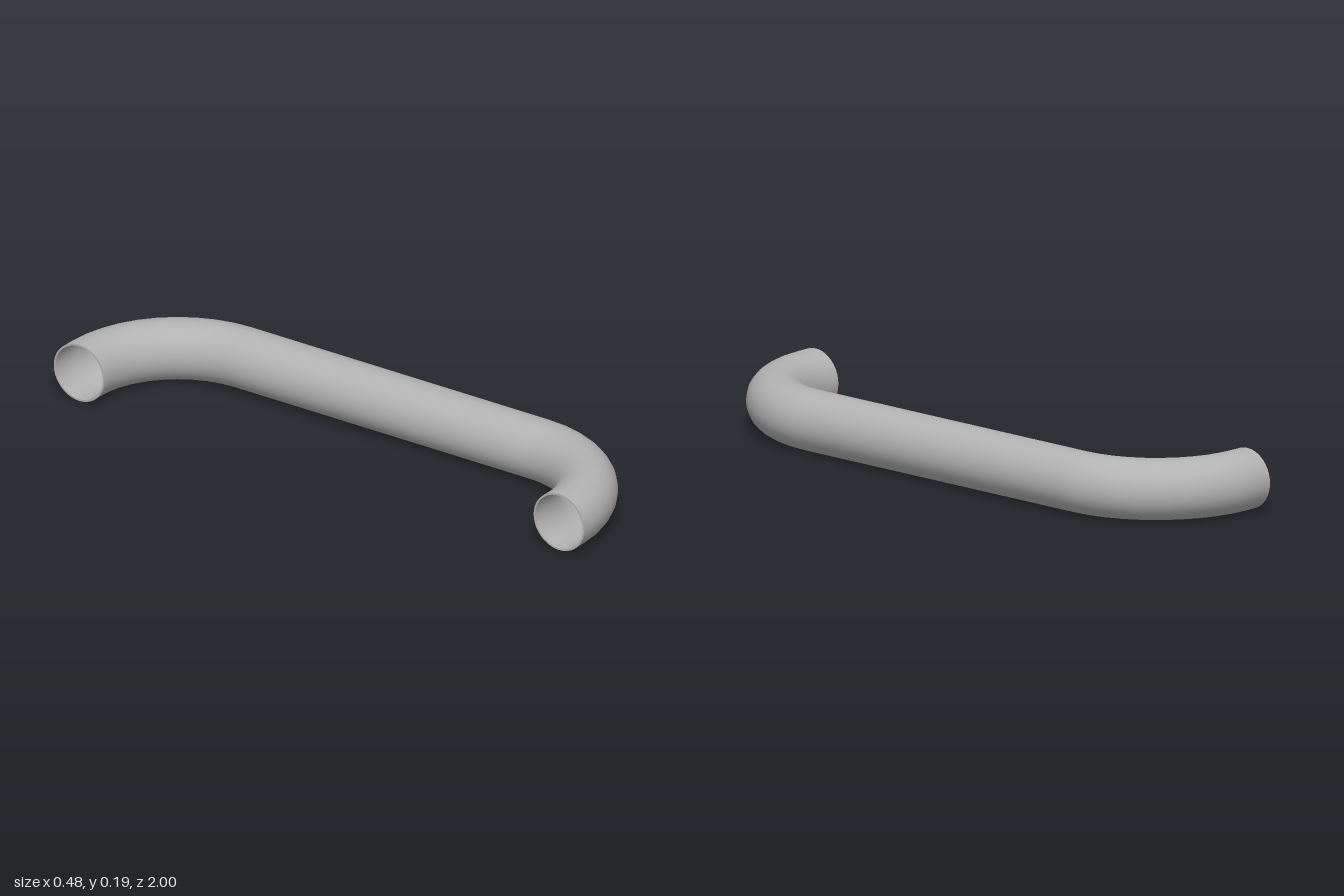
import * as THREE from 'three';

const RADIUS = 0.0955, WALL = 0.006, SIDES = 40, BEND = 0.345, BEND_STEPS = 10;
const END_X = -0.24, BEND_X = -0.2025, BEND_Z = 0.559;

// Stations along the pipe: centre (x, z) and the angle of its outward direction
function pipeStations() {
  const half = [{ x: END_X, z: BEND_Z + BEND, t: Math.PI / 2 }];
  for (let i = 0; i <= BEND_STEPS; i++) {
    const t = (Math.PI / 2) * (1 - i / BEND_STEPS);
    half.push({ x: BEND_X + BEND * Math.cos(t), z: BEND_Z + BEND * Math.sin(t), t });
  }
  const mirrored = half.map(s => ({ x: s.x, z: -s.z, t: -s.t })).reverse();
  return [...half, ...mirrored];
}

// Sweep a circle along the stations; facing is 1 for the outside, -1 for the bore
function sweep(radius, facing) {
  const stations = pipeStations();
  const geo = new THREE.PlaneGeometry(1, 1, SIDES, stations.length - 1);
  const pos = geo.attributes.position, nor = geo.attributes.normal;
  stations.forEach((s, row) => {
    for (let i = 0; i <= SIDES; i++) {
      const a = facing * (i / SIDES) * Math.PI * 2;
      const nx = Math.cos(a) * Math.cos(s.t), ny = Math.sin(a), nz = Math.cos(a) * Math.sin(s.t);
      const k = row * (SIDES + 1) + i;
      pos.setXYZ(k, s.x + radius * nx, RADIUS + radius * ny, s.z + radius * nz);
      nor.setXYZ(k, facing * nx, facing * ny, facing * nz);
    }
  });
  return geo;
}

export function createModel() {
  const metal = new THREE.MeshStandardMaterial({ color: 0xb2b2b2 });
  metal.name = 'grey metal';
  const group = new THREE.Group();
  group.name = 'pullHandle';

  const add = (name, geo) => {
    const mesh = new THREE.Mesh(geo, metal);
    mesh.name = name;
    group.add(mesh);
    return mesh;
  };

  // Hollow bent pipe
  add('outerPipe', sweep(RADIUS, 1));
  add('innerBore', sweep(RADIUS - WALL, -1));

  // Flat rims closing the wall at both open ends
  for (const side of [1, -1]) {
    const rim = add(side > 0 ? 'frontRim' : 'backRim',
      new THREE.RingGeometry(RADIUS - WALL, RADIUS, SIDES).rotateY(-Math.PI / 2));
    rim.position.set(END_X, RADIUS, side * (BEND_Z + BEND));
  }
  return group;
}
